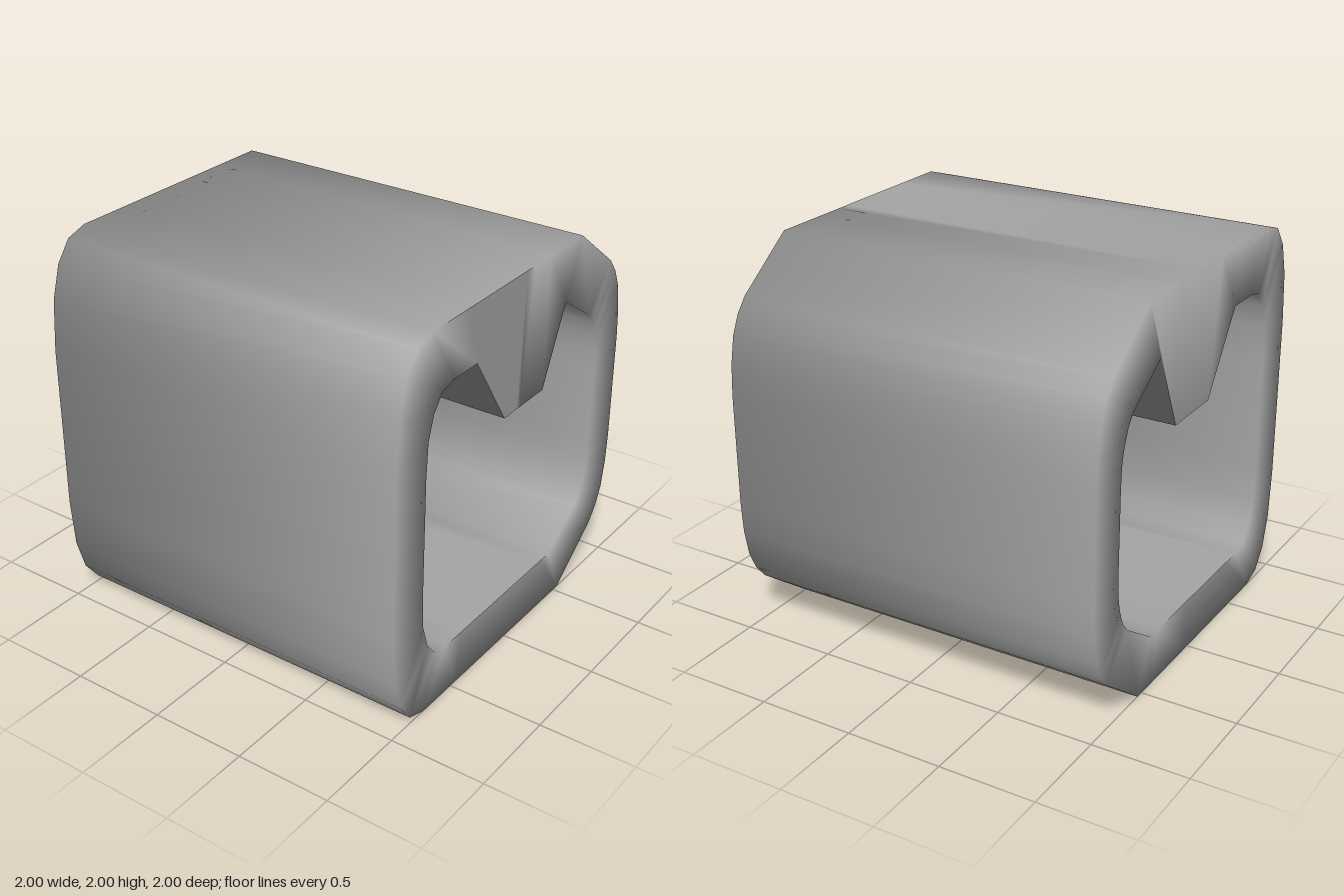
import * as THREE from 'three';

// Each station pairs an outer with an inner point: [outerX, outerY, innerX, innerY],
// optionally followed by the names of the rims that stay sharp there.
const mirrorDown = (rows) => rows.map(([ox, oy, ix, iy]) => [ox, 2 - oy, ix, 1.97 - iy]);

// Soft round corner on the right (-x), from the top down to the side
const rightCorner = [
  [-0.74, 2, -0.56, 1.7], [-0.85, 1.965, -0.65, 1.68], [-0.93, 1.86, -0.715, 1.6],
  [-0.98, 1.69, -0.755, 1.475], [-1, 1.43, -0.765, 1.29],
];
// Wide chamfered corner on the left (+x)
const leftCorner = [
  [0.54, 2, 0.42, 1.7], [0.86, 1.76, 0.67, 1.535], [0.92, 1.685, 0.715, 1.48],
  [0.963, 1.59, 0.75, 1.395], [0.99, 1.45, 0.768, 1.31], [1, 1.29, 0.773, 1.21],
];
// Ceiling with the hanging ridge
const ceiling = [
  [-0.45, 2, -0.375, 1.7, 'outerFront', 'innerFront'],
  [-0.2, 2, -0.11, 1.305, 'outerFront', 'innerFront', 'innerBack'],
  [0.03, 2, 0, 1.305, 'outerFront', 'innerFront', 'innerBack'],
  [0.1, 2, 0.03, 1.305, 'innerBack'],
  [0.24, 2, 0.24, 1.305, 'innerBack'],
];
// Floor, running back from left to right
const floor = [
  [0.4, 0, 0.34, 0.27, 'innerFront'],
  [0.04, 0, 0.04, 0.27, 'innerFront', 'innerBack'],
  [-0.45, 0, -0.42, 0.27, 'innerFront', 'innerBack'],
];

const stations = [
  ...mirrorDown(rightCorner), ...[...rightCorner].reverse(), ...ceiling,
  ...leftCorner, ...mirrorDown(leftCorner).reverse(), ...floor,
];
const count = stations.length;

// The four rims: which pair of coordinates, which way the wall faces, which end
const rims = {
  outerFront: { at: 0, facing: 1, z: 1 },
  innerFront: { at: 2, facing: -1, z: 1 },
  innerBack: { at: 2, facing: -1, z: -1 },
  outerBack: { at: 0, facing: 1, z: -1 },
};
// Surfaces between neighbouring rims
const bands = [
  { from: 'outerBack', to: 'outerFront', cap: false },
  { from: 'outerFront', to: 'innerFront', cap: true },
  { from: 'innerFront', to: 'innerBack', cap: false },
  { from: 'innerBack', to: 'outerBack', cap: true },
];

const point = (rim, i) => {
  const row = stations[(i + count) % count];
  return new THREE.Vector3(row[rim.at], row[rim.at + 1], rim.z);
};

// Wall normal at a station: mean of the two segments meeting there
function wallNormal(rim, i) {
  const across = (a, b) => {
    const d = point(rim, b).sub(point(rim, a)).normalize();
    return new THREE.Vector3(-d.y, d.x, 0);
  };
  return across(i - 1, i).add(across(i, i + 1)).normalize().multiplyScalar(rim.facing);
}

// Rounded rims blend wall and end face evenly, sharp ones keep them apart
function vertexNormal(name, i, cap) {
  const rim = rims[name];
  const end = new THREE.Vector3(0, 0, rim.z);
  const wall = wallNormal(rim, i);
  if (stations[i % count].includes(name)) return cap ? end : wall;
  return wall.add(end).normalize();
}

export function createModel() {
  const group = new THREE.Group();
  group.name = 'ridgedSleeve';

  const positions = [];
  const normals = [];
  for (const { from, to, cap } of bands) {
    for (let i = 0; i < count; i++) {
      const corners = [[from, i], [to, i], [to, i + 1], [from, i], [to, i + 1], [from, i + 1]];
      for (const [name, k] of corners) {
        positions.push(...point(rims[name], k).toArray());
        normals.push(...vertexNormal(name, k, cap).toArray());
      }
    }
  }
  const geometry = new THREE.BufferGeometry();
  geometry.setAttribute('position', new THREE.Float32BufferAttribute(positions, 3));
  geometry.setAttribute('normal', new THREE.Float32BufferAttribute(normals, 3));

  const sleeve = new THREE.Mesh(geometry, new THREE.MeshStandardMaterial({ color: 0xa6a6a6 }));
  sleeve.name = 'sleeve';
  group.add(sleeve);
  return group;
}
